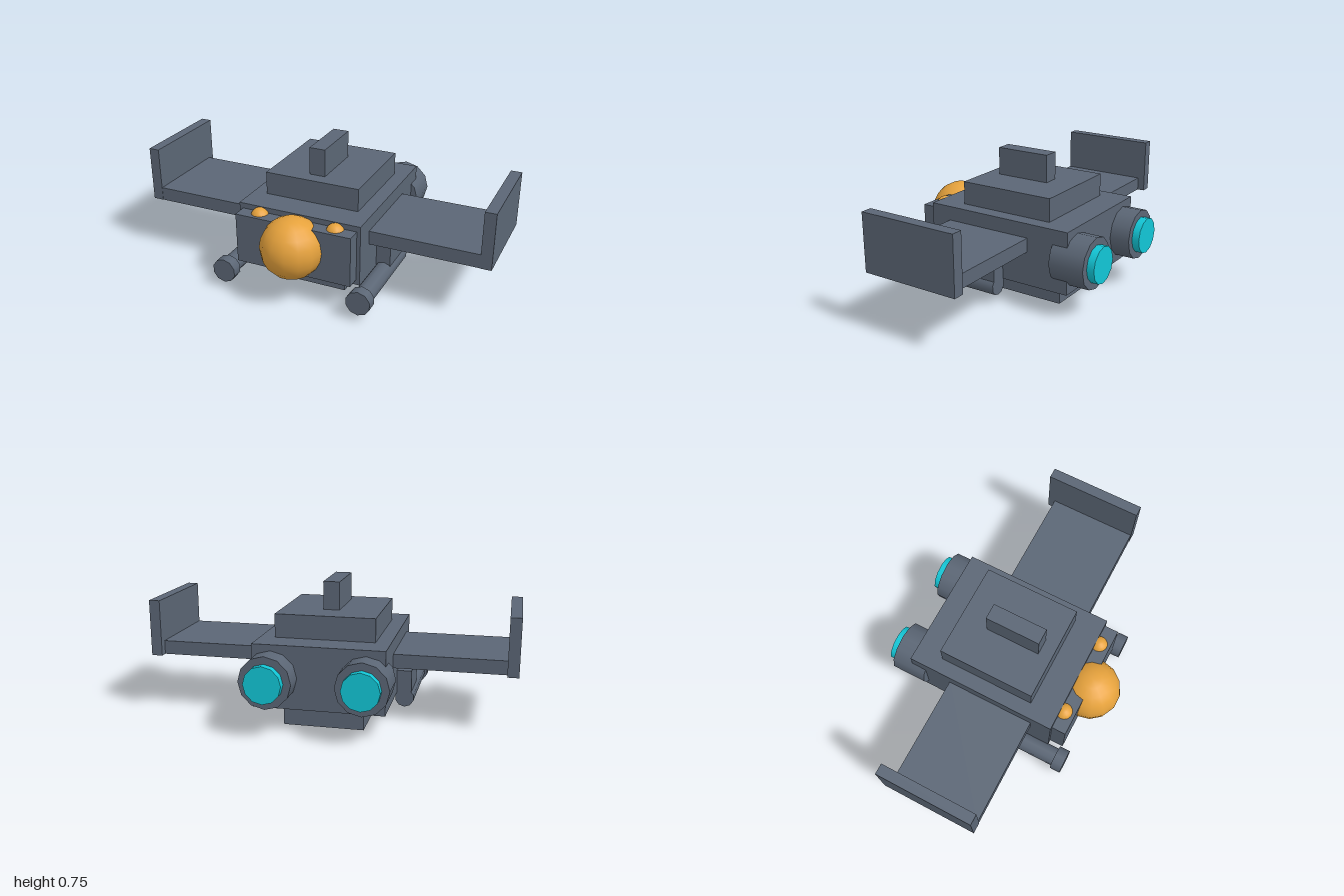
import * as THREE from 'three';

const hull = new THREE.MeshStandardMaterial({ name: 'slate hull', color: 0x5b6675 });
const amber = new THREE.MeshStandardMaterial({ name: 'amber glass', color: 0xe6a23c });
const glow = new THREE.MeshStandardMaterial({ name: 'cyan glow', color: 0x12c6d6 });

export function createModel() {
  const model = new THREE.Group();
  model.name = 'spacecraft';

  const add = (name, geometry, material, x, y, z) => {
    const mesh = new THREE.Mesh(geometry, material);
    mesh.name = name;
    mesh.position.set(x, y, z);
    model.add(mesh);
  };
  // Box given by its minimum and maximum on each axis
  const box = (name, x0, x1, y0, y1, z0, z1) =>
    add(name, new THREE.BoxGeometry(x1 - x0, y1 - y0, z1 - z0), hull,
      (x0 + x1) / 2, (y0 + y1) / 2, (z0 + z1) / 2);
  // Cylinder lying along z
  const tube = (name, material, radius, sides, x, y, z0, z1) =>
    add(name, new THREE.CylinderGeometry(radius, radius, z1 - z0, sides).rotateX(Math.PI / 2),
      material, x, y, (z0 + z1) / 2);
  const ball = (name, radius, x, y, z) =>
    add(name, new THREE.SphereGeometry(radius, 14, 10), amber, x, y, z);

  // Central hull
  box('body', -0.35, 0.35, 0.13, 0.47, -0.475, 0.383);
  box('nose', -0.33, 0.33, 0.16, 0.44, 0.37, 0.463);
  box('upperDeck', -0.27, 0.27, 0.46, 0.597, -0.32, 0.225);
  box('dorsalFin', -0.045, 0.045, 0.59, 0.75, -0.16, 0.15);
  box('belly', -0.217, 0.217, 0, 0.14, -0.355, 0.268);
  ball('cockpitDome', 0.17, 0, 0.317, 0.462);

  for (const [side, s] of [['left', 1], ['right', -1]]) {
    const sideBox = (name, a, b, ...rest) =>
      box(side + name, Math.min(s * a, s * b), Math.max(s * a, s * b), ...rest);

    // Wing with upright tip
    sideBox('Wing', 0.34, 0.95, 0.316, 0.392, -0.237, 0.265);
    sideBox('Winglet', 0.94, 1, 0.316, 0.627, -0.278, 0.267);

    // Gun on its pylon
    sideBox('GunPylon', 0.34, 0.43, 0.12, 0.258, -0.082, 0.15);
    tube(side + 'GunBarrel', hull, 0.052, 10, s * 0.393, 0.104, -0.082, 0.46);
    tube(side + 'GunMuzzle', hull, 0.068, 10, s * 0.393, 0.104, 0.45, 0.512);

    // Engine and its exhaust
    tube(side + 'Engine', hull, 0.14, 12, s * 0.25, 0.298, -0.587, -0.39);
    tube(side + 'Exhaust', glow, 0.1, 12, s * 0.25, 0.298, -0.628, -0.57);

    // Small lamp on the nose
    ball(side + 'Lamp', 0.051, s * 0.218, 0.42, 0.4);
  }
  return model;
}
